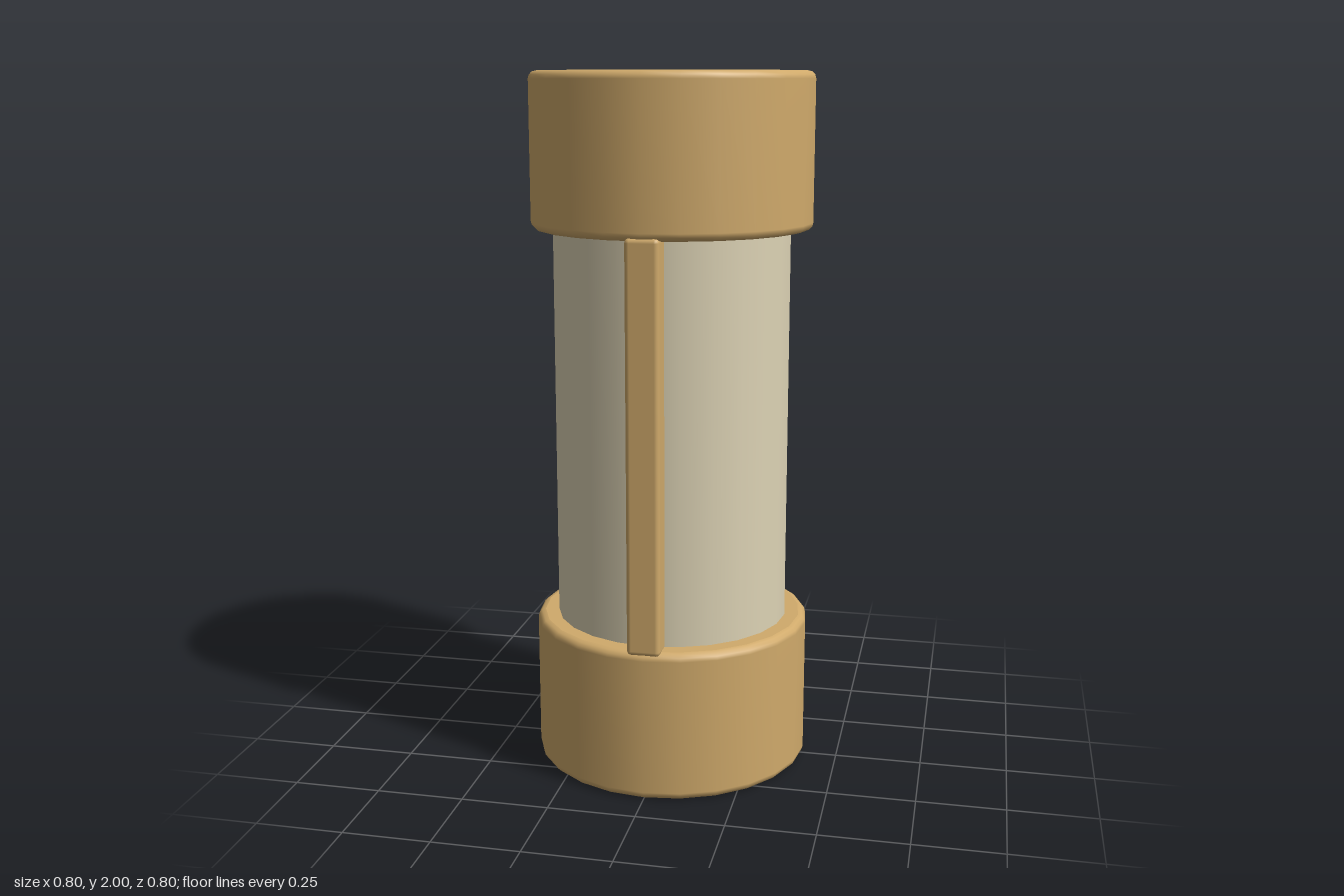
import * as THREE from 'three';
import { RoundedBoxGeometry } from 'three/addons/geometries/RoundedBoxGeometry.js';

const SIDES = 24;

// Closed drum with softly rounded rims; repeated points keep the end faces flat
function drum(radius, height, bevel) {
  const points = [new THREE.Vector2(0, 0), new THREE.Vector2(radius - bevel, 0)];
  const steps = 3;
  for (let i = 0; i <= steps; i++) {
    const a = (i / steps) * Math.PI / 2;
    points.push(new THREE.Vector2(
      radius - bevel + bevel * Math.sin(a), bevel - bevel * Math.cos(a)));
  }
  for (let i = 0; i <= steps; i++) {
    const a = (i / steps) * Math.PI / 2;
    points.push(new THREE.Vector2(
      radius - bevel + bevel * Math.cos(a), height - bevel + bevel * Math.sin(a)));
  }
  points.push(new THREE.Vector2(radius - bevel, height), new THREE.Vector2(0, height));
  return new THREE.LatheGeometry(points, SIDES);
}

export function createModel() {
  const group = new THREE.Group();
  const tan = new THREE.MeshStandardMaterial({ color: 0xd0aa6b });
  tan.name = 'tan';
  const cream = new THREE.MeshStandardMaterial({ color: 0xddd3b5 });
  cream.name = 'cream';

  const add = (name, geometry, material, y, z = 0) => {
    const mesh = new THREE.Mesh(geometry, material);
    mesh.name = name;
    mesh.position.set(0, y, z);
    group.add(mesh);
  };

  // End caps
  const capHeight = 0.435;
  add('bottomCap', drum(0.4, capHeight, 0.022), tan, 0);
  add('topCap', drum(0.4, capHeight, 0.022), tan, 2 - capHeight);

  // Tube between the caps
  add('tubeBody', new THREE.CylinderGeometry(0.338, 0.338, 1.2, SIDES, 1, true), cream, 1);

  // Raised strip down the front
  add('frontStrip', new RoundedBoxGeometry(0.095, 1.15, 0.12, 2, 0.014), tan, 1, 0.337);

  return group;
}
